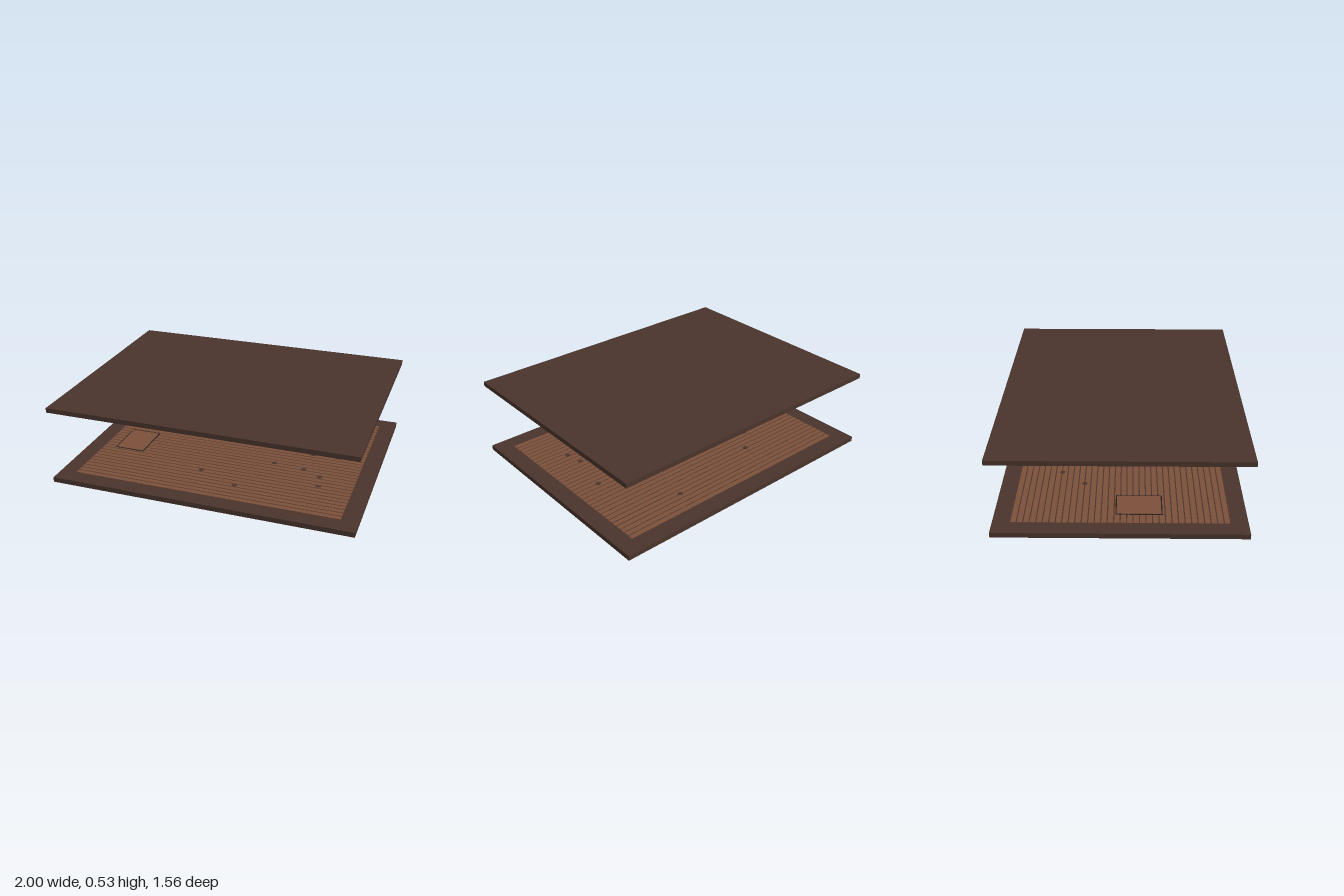
import * as THREE from 'three';

const mat = (name, color) => Object.assign(new THREE.MeshStandardMaterial({ color }), { name });

export function createModel() {
  const model = new THREE.Group();
  model.name = 'beamedRoom';
  const dark = mat('darkTimber', 0x4a342c);
  const wood = mat('warmWood', 0x7b503a);
  const iron = mat('blackIron', 0x2a201c);
  const meat = mat('curedMeat', 0x7c4f38);
  const herb = mat('driedHerb', 0x3b3026);
  const wax = mat('candleWax', 0x4a3a30);

  const add = (parent, name, geo, material, x = 0, y = 0, z = 0) => {
    const m = new THREE.Mesh(geo, material);
    m.name = name;
    m.position.set(x, y, z);
    parent.add(m);
    return m;
  };
  const box = (parent, name, w, h, d, material, x, y, z) =>
    add(parent, name, new THREE.BoxGeometry(w, h, d), material, x, y, z);
  // thin round rod between two points
  const rod = (parent, name, a, b, r, material) => {
    const dir = b.clone().sub(a);
    const m = add(parent, name, new THREE.CylinderGeometry(r, r, dir.length(), 6), material);
    m.position.copy(a).addScaledVector(dir, 0.5);
    m.quaternion.setFromUnitVectors(new THREE.Vector3(0, 1, 0), dir.normalize());
  };

  // floor and ceiling slabs
  box(model, 'floorSlab', 2, 0.033, 1.556, dark, 0, 0.0165, 0);
  box(model, 'ceilingSlab', 2, 0.031, 1.556, dark, 0, 0.5175, 0);

  // floor boards laid along x with narrow gaps
  const boards = new THREE.Group();
  boards.name = 'floorBoards';
  model.add(boards);
  const rows = 34, pitch = 1.34 / rows;
  for (let i = 0; i < rows; i++) {
    box(boards, 'floorBoard', 1.78, 0.003, pitch - 0.007, wood, 0, 0.0335, (i - (rows - 1) / 2) * pitch);
  }

  // trapdoor on a dark frame
  box(model, 'hatchFrame', 0.212, 0.004, 0.292, iron, -0.7, 0.0345, 0.115);
  box(model, 'hatch', 0.196, 0.005, 0.276, wood, -0.7, 0.0355, 0.115);

  // dark knots worn into the boards
  const knots = [
    [0.315, 0.12], [0.536, -0.075], [0.71, -0.08], [0.155, 0.49], [0.67, 0.33], [0.65, 0.21],
    [0.525, 0.147], [-0.455, -0.236], [0.38, -0.51], [-0.32, -0.39], [-0.12, 0.37]];
  for (const [x, z] of knots) {
    add(model, 'floorKnot', new THREE.CylinderGeometry(0.018, 0.018, 0.003, 10), dark, x, 0.035, z);
  }

  // ceiling joists across two main beams
  for (let i = -7; i <= 7; i++) {
    box(model, 'joist', 0.02, 0.017, 1.336, wood, i * 0.1167, 0.4945, 0);
  }
  for (const z of [-0.278, 0.278]) {
    box(model, 'mainBeam', 1.78, 0.037, 0.039, dark, 0, 0.469, z);
  }

  // ring chandeliers with six candles and four chains
  for (const x of [-0.335, 0.333]) {
    const lamp = new THREE.Group();
    lamp.name = 'chandelier';
    lamp.position.set(x, 0.375, 0.112);
    model.add(lamp);
    const ring = add(lamp, 'chandelierRing', new THREE.TorusGeometry(0.07, 0.004, 6, 32), iron);
    ring.rotation.x = Math.PI / 2;
    for (let i = 0; i < 6; i++) {
      const a = i * Math.PI / 3, px = 0.07 * Math.cos(a), pz = 0.07 * Math.sin(a);
      add(lamp, 'candleCup', new THREE.CylinderGeometry(0.005, 0.004, 0.006, 8), iron, px, 0.005, pz);
      add(lamp, 'candle', new THREE.CylinderGeometry(0.0028, 0.0028, 0.026, 8), wax, px, 0.019, pz);
      if (i % 3) {
        rod(lamp, 'chain', new THREE.Vector3(px, 0, pz), new THREE.Vector3(0, 0.127, 0), 0.0016, iron);
      }
    }
  }

  // hams and herb bundles hung alternately from the back beam
  for (let i = 0; i < 6; i++) {
    const hung = new THREE.Group();
    const isHam = i % 2 === 0;
    hung.name = isHam ? 'hangingHam' : 'hangingHerbs';
    hung.position.set(0.286 + i * 0.0935, 0, -0.277);
    model.add(hung);
    rod(hung, 'string', new THREE.Vector3(0, 0.392, 0), new THREE.Vector3(0, 0.452, 0), 0.0012, iron);
    if (isHam) {
      const ham = add(hung, 'ham', new THREE.SphereGeometry(0.022, 16, 12), meat, 0, 0.363, 0);
      ham.scale.y = 1.5;
    } else {
      add(hung, 'herbKnot', new THREE.SphereGeometry(0.005, 8, 6), herb, 0, 0.395, 0);
      for (let k = 0; k < 5; k++) {
        const a = k * Math.PI * 0.4;
        const foot = new THREE.Vector3(0.011 * Math.cos(a), 0.357, 0.011 * Math.sin(a));
        rod(hung, 'herbStem', foot, new THREE.Vector3(0, 0.405, 0), 0.0028, herb);
      }
    }
  }
  return model;
}
